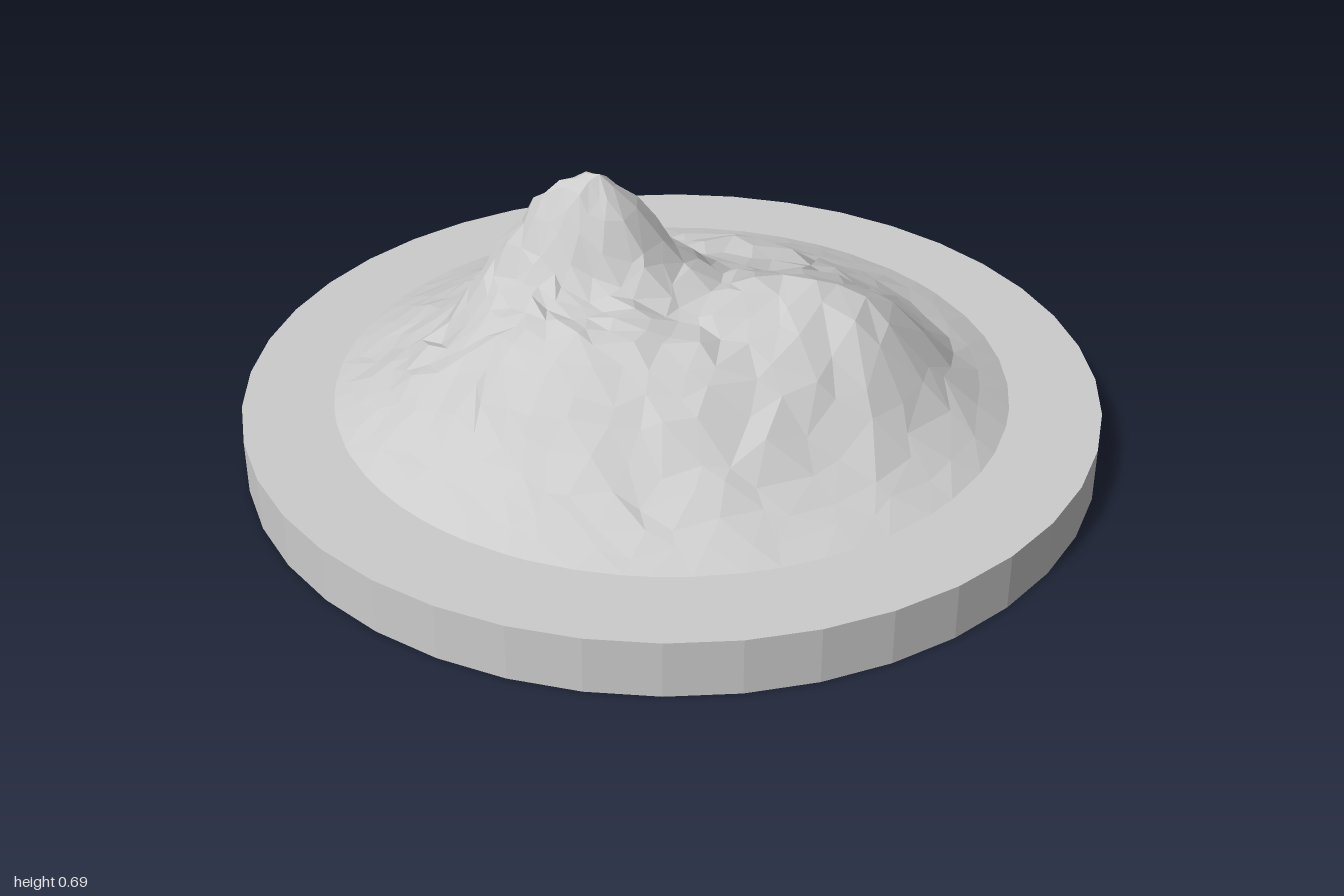
import * as THREE from 'three';

const PLATE_Y = 0.13, RIM = 0.79;
const PEAK = new THREE.Vector3(-0.145, 0.685, 0.093);
const RINGS = 17;

// Heights along 12 spokes running from the summit to the rim, every 30 degrees from +x towards +z
const STEPS = [0.1, 0.2, 0.3, 0.4, 0.55, 0.7, 0.85];
const SPOKES = [
  [0.6, 0.48, 0.45, 0.465, 0.458, 0.395, 0.23],
  [0.6, 0.48, 0.43, 0.42, 0.38, 0.295, 0.19],
  [0.6, 0.47, 0.45, 0.44, 0.37, 0.27, 0.18],
  [0.605, 0.48, 0.455, 0.45, 0.39, 0.28, 0.18],
  [0.635, 0.52, 0.45, 0.43, 0.37, 0.28, 0.19],
  [0.655, 0.59, 0.5, 0.42, 0.33, 0.27, 0.2],
  [0.67, 0.63, 0.55, 0.47, 0.31, 0.24, 0.18],
  [0.665, 0.59, 0.5, 0.42, 0.31, 0.24, 0.18],
  [0.65, 0.54, 0.44, 0.37, 0.29, 0.23, 0.17],
  [0.63, 0.48, 0.39, 0.34, 0.28, 0.21, 0.16],
  [0.615, 0.48, 0.39, 0.35, 0.335, 0.25, 0.18],
  [0.6, 0.48, 0.41, 0.385, 0.35, 0.28, 0.19],
];

// Small seeded generator, returning -1 to 1
function seeded(seed) {
  return () => {
    seed = (seed * 16807) % 2147483647;
    return (seed / 2147483647) * 2 - 1;
  };
}

// One spoke as a smooth curve over the ground
function spokeCurve(heights, k) {
  const a = (k * Math.PI) / 6, dx = Math.cos(a), dz = Math.sin(a);
  const along = PEAK.x * dx + PEAK.z * dz;
  const reach = -along + Math.sqrt(along ** 2 + RIM ** 2 - PEAK.x ** 2 - PEAK.z ** 2);
  const at = (t, y) => new THREE.Vector3(PEAK.x + dx * reach * t, y, PEAK.z + dz * reach * t);
  return new THREE.CatmullRomCurve3([
    PEAK.clone(), ...STEPS.map((t, i) => at(t, heights[i])), at(1, PLATE_Y),
  ]);
}

// Rings of irregular rocky points from summit to rim, with more points on wider rings
function terrainRings() {
  const random = seeded(4711);
  const spokes = SPOKES.map(spokeCurve);
  const rings = [];
  for (let i = 1; i <= RINGS; i++) {
    const ring = [], last = i === RINGS, count = 5 + 3 * i;
    for (let j = 0; j < count; j++) {
      const u = last ? 1 : (i + 0.32 * random()) / RINGS;
      const v = ((j + 0.32 * random() + count) % count) / count;
      const p = new THREE.CatmullRomCurve3(spokes.map((s) => s.getPoint(u)), true).getPoint(v);
      if (last) {
        const scale = RIM / Math.hypot(p.x, p.z);
        p.set(p.x * scale, PLATE_Y, p.z * scale);
      } else {
        p.y += 0.012 * random() * Math.min(1, 4 * (1 - u), 5 * u);
      }
      ring.push(p);
    }
    rings.push(ring);
  }
  return rings;
}

function terrainGeometry(rings) {
  const corners = [];
  const first = rings[0];
  first.forEach((p, j) => corners.push(PEAK, first[(j + 1) % first.length], p));
  // stitch each ring to the next, always stepping along the one that lags behind
  for (let i = 0; i < RINGS - 1; i++) {
    const inner = rings[i], outer = rings[i + 1];
    const n = inner.length, m = outer.length;
    let a = 0, b = 0;
    while (a < n || b < m) {
      const p = inner[a % n], q = outer[b % m];
      if ((a + 0.5) / n < (b + 0.5) / m) corners.push(p, inner[++a % n], q);
      else corners.push(p, outer[++b % m], q);
    }
  }
  const geometry = new THREE.BufferGeometry().setFromPoints(corners);
  geometry.computeVertexNormals();
  return geometry;
}

export function createModel() {
  const group = new THREE.Group();
  group.name = 'mountainOnPlate';
  const material = new THREE.MeshStandardMaterial({
    color: 0xcccccc, flatShading: true, side: THREE.DoubleSide,
  });
  const add = (name, geometry) => {
    const mesh = new THREE.Mesh(geometry, material);
    mesh.name = name;
    group.add(mesh);
    return mesh;
  };

  // Hollow mountain
  const rings = terrainRings();
  add('mountain', terrainGeometry(rings));

  // Flat border, meeting the mountain along its rim
  const circle = Array.from({ length: 40 }, (_, k) => {
    const a = (k * Math.PI) / 20;
    return new THREE.Vector2(Math.sin(a), Math.cos(a));
  });
  const border = new THREE.Shape(circle);
  border.holes.push(new THREE.Path(rings[RINGS - 1].map((p) => new THREE.Vector2(p.x, -p.z))));
  const top = new THREE.ShapeGeometry(border).rotateX(-Math.PI / 2);
  add('plateTop', top).position.y = PLATE_Y;

  // Outer wall, open underneath
  const wall = new THREE.CylinderGeometry(1, 1, PLATE_Y, 40, 1, true);
  add('plateWall', wall).position.y = PLATE_Y / 2;

  return group;
}
